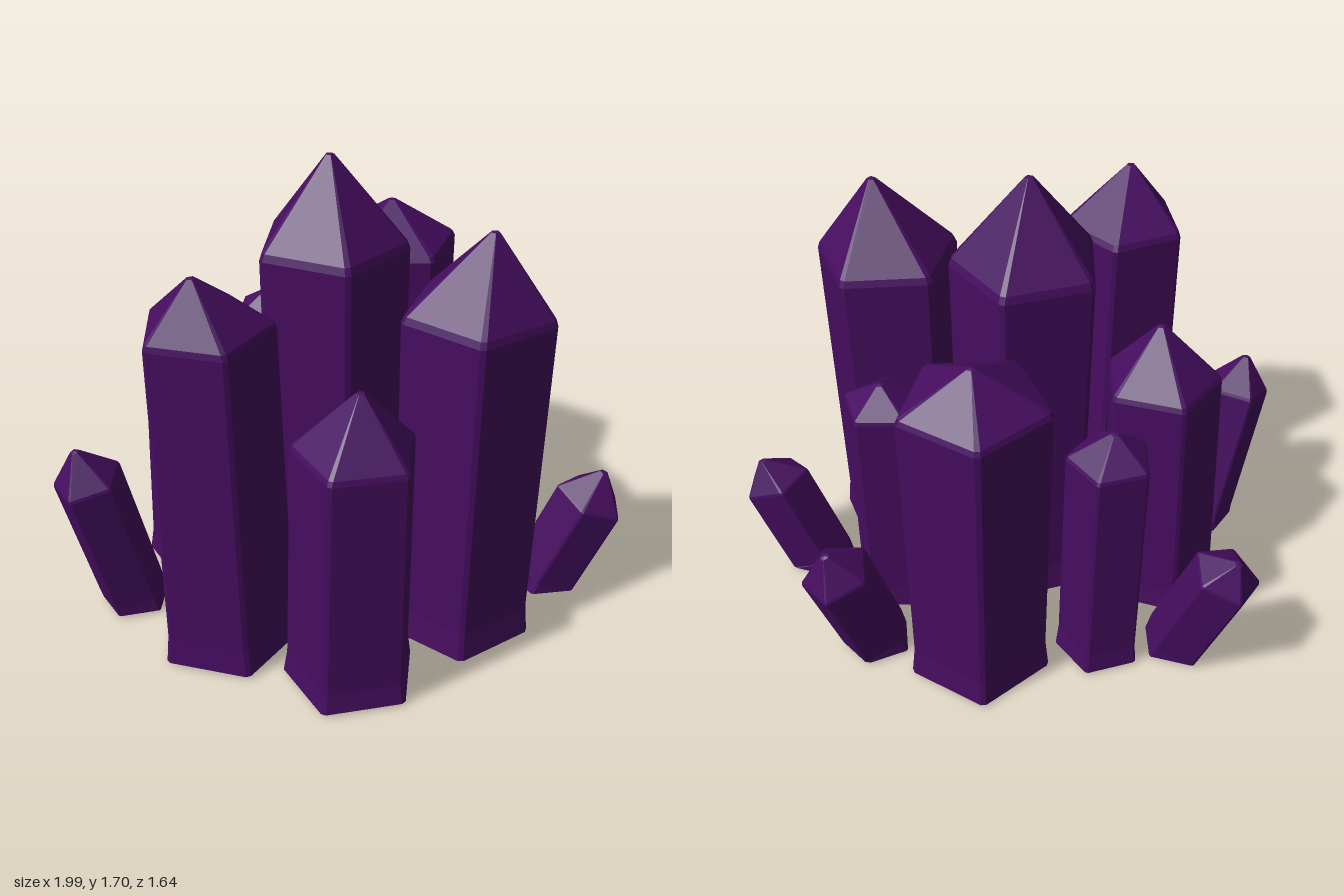
import * as THREE from 'three';

const SIDES = 5;

// Pentagon ring with slightly clipped corners, tilted square to the crystal's lean
function ring([cx, cy, cz], r, phase, slope = [0, 0]) {
  const corners = [];
  for (let i = 0; i < SIDES; i++) {
    const a = THREE.MathUtils.degToRad(phase + i * 360 / SIDES);
    const ox = Math.cos(a) * r, oz = Math.sin(a) * r;
    corners.push(new THREE.Vector3(cx + ox, cy - ox * slope[0] - oz * slope[1], cz + oz));
  }
  const pts = [];
  corners.forEach((c, i) => {
    pts.push(c.clone().lerp(corners[(i + SIDES - 1) % SIDES], 0.04));
    pts.push(c.clone().lerp(corners[(i + 1) % SIDES], 0.04));
  });
  return pts;
}

const blend = (a, b, t) => a.map((p, i) => p.clone().lerp(b[i], t));

// Skin a stack of rings and close both ends
function loft(rings) {
  const n = rings[0].length, pos = [];
  const tri = (...v) => v.forEach(p => pos.push(p.x, p.y, p.z));
  const middle = pts => pts.reduce((s, p) => s.add(p), new THREE.Vector3()).divideScalar(n);
  const low = rings[0], high = rings[rings.length - 1];
  const lowMid = middle(low), highMid = middle(high);
  highMid.y += 0.004;
  for (let i = 0; i < n; i++) {
    const j = (i + 1) % n;
    for (let k = 0; k < rings.length - 1; k++) {
      const a = rings[k], b = rings[k + 1];
      tri(a[i], b[i], a[j]);
      tri(a[j], b[i], b[j]);
    }
    tri(lowMid, low[i], low[j]);
    tri(highMid, high[j], high[i]);
  }
  const g = new THREE.BufferGeometry();
  g.setAttribute('position', new THREE.Float32BufferAttribute(pos, 3));
  g.computeVertexNormals();
  return g;
}

// Crystal: flared foot, long shaft, softened shoulder and pointed tip
function crystalGeometry({ base, r, phase, shoulder, sr, tip }) {
  const [bx, bz] = base, [sx, sy, sz] = shoulder;
  const slope = [(sx - bx) / sy, (sz - bz) / sy];
  const t = 0.09;
  const foot = ring([bx, 0, bz], r, phase);
  const waist = ring([bx + (sx - bx) * t, sy * t, bz + (sz - bz) * t],
    (r + (sr - r) * t) * 0.955, phase, slope);
  const rim = ring(shoulder, sr, phase, slope);
  const point = ring([tip[0], tip[1] - 0.004, tip[2]], 0.016, phase, slope);
  return loft([foot, waist, blend(rim, waist, 0.012), blend(rim, point, 0.04), point]);
}

const crystals = [
  // tall upright crystals
  { name: 'centreCrystal', base: [-0.04, 0.04], r: 0.275, phase: -90, shoulder: [-0.04, 1.37, 0.04], sr: 0.28, tip: [-0.04, 1.69, 0.045] },
  { name: 'backCrystal', base: [-0.045, -0.515], r: 0.265, phase: -41, shoulder: [-0.045, 1.17, -0.525], sr: 0.27, tip: [-0.05, 1.325, -0.55] },
  { name: 'leftCrystal', base: [0.505, 0.13], r: 0.265, phase: -4, shoulder: [0.525, 1.25, 0.12], sr: 0.272, tip: [0.57, 1.54, 0.125] },
  { name: 'frontCrystal', base: [-0.225, 0.56], r: 0.26, phase: 46, shoulder: [-0.23, 1.26, 0.6], sr: 0.235, tip: [-0.23, 1.46, 0.67] },
  // matching mid-height crystals
  ...[['frontLeftCrystal', 0, 0], ['rightCrystal', -0.81, -0.46]].map(([name, x, z]) => ({
    name, base: [0.27 + x, 0.575 + z], r: 0.245, phase: 18,
    shoulder: [0.295 + x, 0.92 + 0, 0.59 + z], sr: 0.222, tip: [0.31 + x, 1.14, 0.6 + z] })),
  // slim upright crystals
  { name: 'slimRightCrystal', base: [-0.45, -0.33], r: 0.163, phase: 54, shoulder: [-0.455, 0.89, -0.32], sr: 0.155, tip: [-0.46, 0.98, -0.3] },
  { name: 'slimLeftCrystal', base: [0.38, -0.275], r: 0.16, phase: 0, shoulder: [0.385, 0.89, -0.285], sr: 0.155, tip: [0.39, 0.98, -0.3] },
  // small outward-leaning shards
  { name: 'rightShard', base: [-0.72, -0.23], r: 0.13, phase: 16, shoulder: [-0.885, 0.45, -0.29], sr: 0.122, tip: [-0.925, 0.55, -0.325] },
  { name: 'leftShard', base: [0.72, -0.235], r: 0.13, phase: 17, shoulder: [0.875, 0.38, -0.265], sr: 0.125, tip: [0.91, 0.487, -0.295] },
  { name: 'backShard', base: [0.335, -0.575], r: 0.13, phase: 47, shoulder: [0.415, 0.43, -0.705], sr: 0.127, tip: [0.43, 0.547, -0.745] },
  { name: 'frontShard', base: [-0.645, 0.505], r: 0.13, phase: 16, shoulder: [-0.72, 0.58, 0.635], sr: 0.127, tip: [-0.74, 0.71, 0.665] },
];

export function createModel() {
  const model = new THREE.Group();
  model.name = 'crystalCluster';
  const purple = new THREE.MeshStandardMaterial({ color: 0x460d60 });
  purple.name = 'deepPurple';
  for (const spec of crystals) {
    const mesh = new THREE.Mesh(crystalGeometry(spec), purple);
    mesh.name = spec.name;
    model.add(mesh);
  }
  return model;
}
